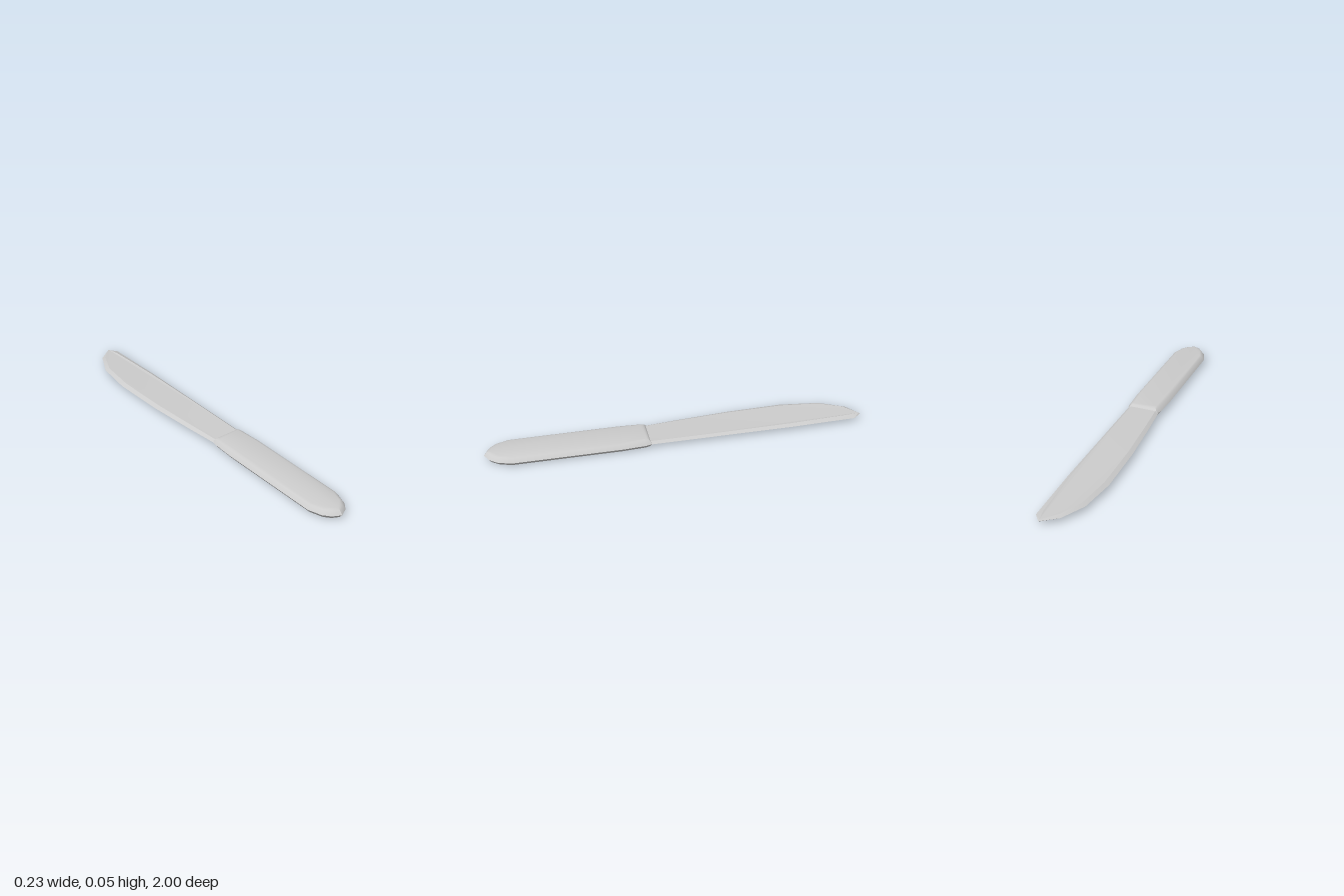
import * as THREE from 'three';
import { toCreasedNormals } from 'three/addons/utils/BufferGeometryUtils.js';

const MID = 0.026; // height of the widest ridge

// Closed solid from stacked rings (bottom to top), each counter-clockwise from above
function stackRings(rings, crease) {
  const n = rings[0].length;
  const index = [];
  for (let i = 0; i < rings.length - 1; i++) {
    for (let j = 0; j < n; j++) {
      const k = (j + 1) % n;
      const a = i * n + j, b = i * n + k, c = b + n, d = a + n;
      index.push(a, b, c, a, c, d);
    }
  }
  const cap = (ring) => THREE.ShapeUtils.triangulateShape(
    ring.map((p) => new THREE.Vector2(p[0], -p[2])), []);
  const top = (rings.length - 1) * n;
  cap(rings[0]).forEach(([a, b, c]) => index.push(a, c, b));
  cap(rings.at(-1)).forEach(([a, b, c]) => index.push(top + a, top + b, top + c));
  const geo = new THREE.BufferGeometry();
  geo.setAttribute('position', new THREE.Float32BufferAttribute(rings.flat(2), 3));
  geo.setIndex(index);
  return toCreasedNormals(geo, crease);
}

// Mitred inward offset of an [x, z] outline
function inset(outline, d) {
  const n = outline.length;
  const normal = (p, q) => {
    const dx = q[0] - p[0], dz = q[1] - p[1], l = Math.hypot(dx, dz);
    return [dz / l, -dx / l];
  };
  return outline.map((p, i) => {
    const a = normal(outline[(i + n - 1) % n], p);
    const b = normal(p, outline[(i + 1) % n]);
    const s = d / (1 + a[0] * b[0] + a[1] * b[1]);
    return [p[0] + (a[0] + b[0]) * s, p[1] + (a[1] + b[1]) * s];
  });
}

export function createModel() {
  const group = new THREE.Group();
  const material = new THREE.MeshStandardMaterial({ color: 0xcccccc });
  const add = (name, geometry) => {
    const mesh = new THREE.Mesh(geometry, material);
    mesh.name = name;
    group.add(mesh);
  };

  // Handle: rounded butt, bevelled all round
  const handle = [
    [0.016, 1], [0.06, 0.977], [0.09, 0.94], [0.114, 0.87], [0.114, 0.3],
    [0.107, 0.18], [0.098, 0.143], [-0.068, 0.143], [-0.077, 0.18],
    [-0.083, 0.3], [-0.081, 0.87], [-0.058, 0.94], [-0.028, 0.977],
  ];
  const layers = [[-0.026, 0.027], [-0.021, 0.016], [0, 0], [0.021, 0.016], [0.025, 0.027]];
  add('handle', stackRings(
    layers.map(([y, d]) => inset(handle, d).map(([x, z]) => [x, MID + y, z])), 0.7));

  // Blade: ridge x, z, then face edge x, z and half thickness
  const blade = [
    [0.1, 0.2, 0.085, 0.2, 0.011],
    [0.1, -0.2, 0.085, -0.2, 0.011],
    [0.1, -0.6, 0.081, -0.6, 0.011],
    [0.091, -0.955, 0.066, -0.93, 0.01],
    [0.055, -1, 0.054, -0.99, 0.006],
    [-0.025, -0.94, -0.015, -0.922, 0.01],
    [-0.09, -0.81, -0.07, -0.8, 0.011],
    [-0.117, -0.6, -0.093, -0.6, 0.011],
    [-0.11, -0.3, -0.088, -0.3, 0.011],
    [-0.09, -0.03, -0.07, -0.03, 0.011],
    [-0.068, 0.2, -0.052, 0.2, 0.011],
  ];
  const face = (side) => blade.map(([, , x, z, h]) => [x, MID + side * h, z]);
  const ridge = blade.map(([x, z]) => [x, MID, z]);
  add('blade', stackRings([face(-1), ridge, face(1)], 0.3));

  return group;
}
